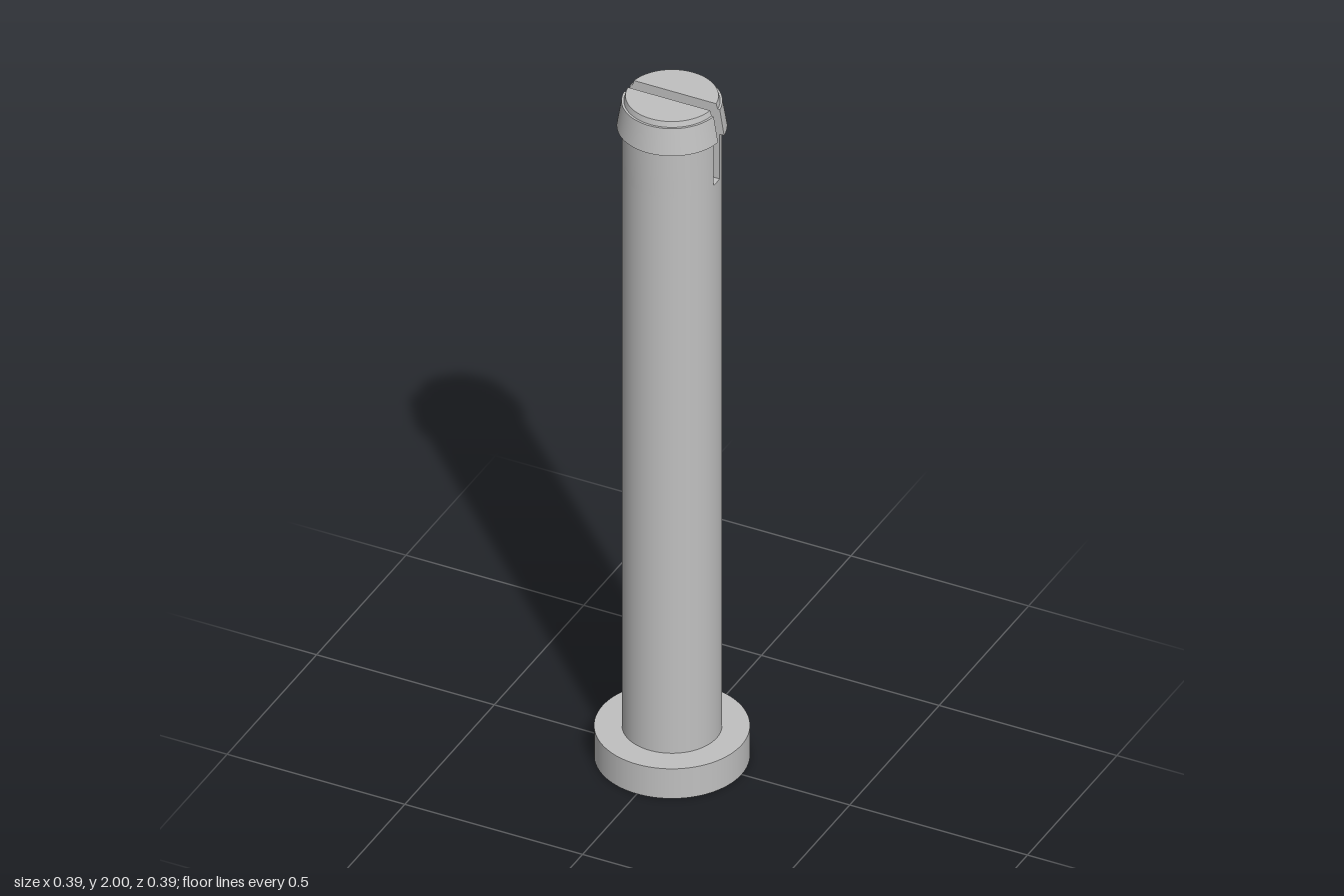
import * as THREE from 'three';

const SLOT = 0.017; // half width of the slot
const SLOT_FLOOR = 1.775;
const SEGMENTS = 64;

// Radius and height pairs of the split tip, from the slot floor upwards
const TIP_PROFILE = [
  [0.126, SLOT_FLOOR], [0.126, 1.91], [0.139, 1.91],
  [0.127, 1.985], [0.121, 1.985], [0.117, 2.0],
];

// Arc of a ring, cut off by the slot wall at z = SLOT
function ringArc([r, y]) {
  const start = Math.asin(SLOT / r);
  return Array.from({ length: SEGMENTS + 1 }, (_, i) => {
    const a = start + (Math.PI - 2 * start) * i / SEGMENTS;
    return [r * Math.cos(a), y, r * Math.sin(a)];
  });
}

// Outer skin of one prong: one crisp-edged band between each pair of rings
function prongSkin() {
  const rings = TIP_PROFILE.map(ringArc);
  rings.push(rings[rings.length - 1].map(([x, y]) => [x, y, SLOT])); // top face
  const positions = [], index = [];
  for (let k = 0; k < rings.length - 1; k++) {
    const lo = positions.length / 3, hi = lo + SEGMENTS + 1;
    positions.push(...rings[k].flat(), ...rings[k + 1].flat());
    for (let i = 0; i < SEGMENTS; i++) {
      index.push(lo + i, hi + i, hi + i + 1, lo + i, hi + i + 1, lo + i + 1);
    }
  }
  const geometry = new THREE.BufferGeometry();
  geometry.setAttribute('position', new THREE.Float32BufferAttribute(positions, 3));
  geometry.setIndex(index);
  geometry.computeVertexNormals();
  return geometry;
}

// Flat wall of one prong facing the slot
function prongWall() {
  const side = TIP_PROFILE.map(([r, y]) => new THREE.Vector2(Math.sqrt(r * r - SLOT * SLOT), y));
  const mirrored = side.map((p) => new THREE.Vector2(-p.x, p.y)).reverse();
  const geometry = new THREE.ShapeGeometry(new THREE.Shape([...side, ...mirrored]));
  return geometry.rotateY(Math.PI).translate(0, 0, SLOT);
}

export function createModel() {
  const model = new THREE.Group();
  model.name = 'slottedPin';
  const grey = new THREE.MeshStandardMaterial({ color: 0xc0c0c0 });
  grey.name = 'grey';

  const add = (parent, name, geometry) => {
    const mesh = new THREE.Mesh(geometry, grey);
    mesh.name = name;
    parent.add(mesh);
    return mesh;
  };
  const cylinder = (name, radius, bottom, top) => {
    const geometry = new THREE.CylinderGeometry(radius, radius, top - bottom, 96);
    add(model, name, geometry).position.y = (bottom + top) / 2;
  };

  // Wide head the pin stands on, and the shaft up to the slot floor
  cylinder('head', 0.196, 0, 0.09);
  cylinder('shaft', 0.126, 0.09, SLOT_FLOOR);

  // Two barbed prongs either side of the slot
  const skin = prongSkin(), wall = prongWall();
  for (const [name, turn] of [['frontProng', 0], ['backProng', Math.PI]]) {
    const prong = new THREE.Group();
    prong.name = name;
    prong.rotation.y = turn;
    add(prong, 'prongSkin', skin);
    add(prong, 'slotWall', wall);
    model.add(prong);
  }
  return model;
}
